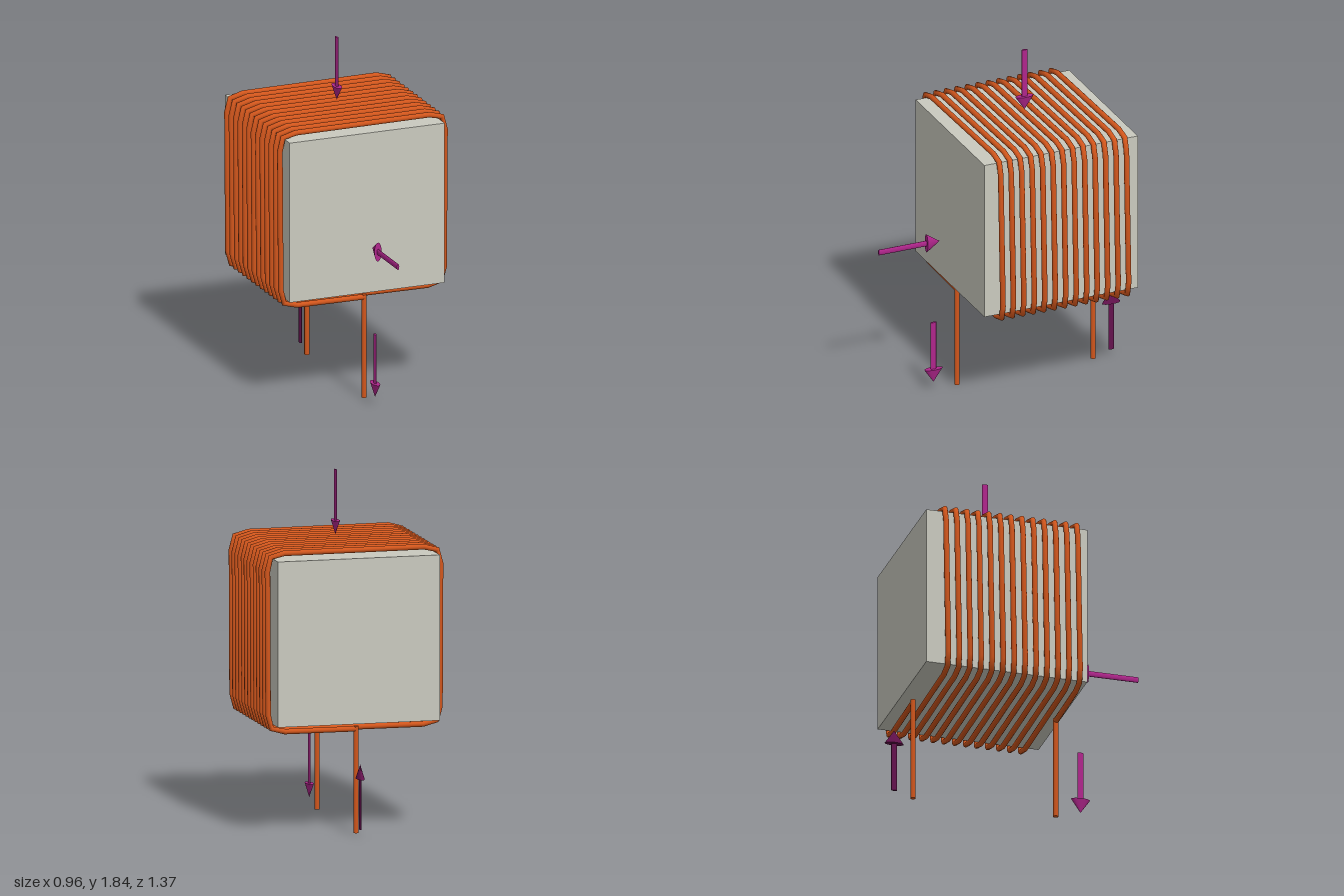
import * as THREE from 'three';

const paint = (color) => new THREE.MeshStandardMaterial({ color });

// Curve that visits the given points one by one, so a tube keeps its bends crisp
class PolylineCurve extends THREE.Curve {
  constructor(points) {
    super();
    this.points = points;
  }
  getPoint(u, target = new THREE.Vector3()) {
    return target.copy(this.points[Math.round(u * (this.points.length - 1))]);
  }
  getPointAt(u, target) {
    return this.getPoint(u, target);
  }
  getTangentAt(u, target = new THREE.Vector3()) {
    const p = this.points, n = p.length - 1, i = Math.round(u * n);
    const ahead = p[Math.min(i + 1, n)].clone().sub(p[Math.min(i, n - 1)]).normalize();
    const behind = p[Math.max(i, 1)].clone().sub(p[Math.max(i - 1, 0)]).normalize();
    return target.copy(ahead).add(behind).normalize();
  }
}

// Arrow pointing along +y from its tail at the origin, flattened in x
function makeArrow(name, length, material) {
  const headLength = 0.075;
  const arrow = new THREE.Group();
  arrow.name = name;
  const shaft = new THREE.Mesh(new THREE.CylinderGeometry(0.016, 0.016, length - headLength, 16), material);
  shaft.name = 'arrowShaft';
  shaft.position.y = (length - headLength) / 2;
  const head = new THREE.Mesh(new THREE.ConeGeometry(0.051, headLength, 24), material);
  head.name = 'arrowHead';
  head.position.y = length - headLength / 2;
  arrow.add(shaft, head);
  arrow.scale.x = 0.4;
  return arrow;
}

export function createModel() {
  const model = new THREE.Group();
  model.name = 'wireCoil';
  const copper = paint(0xd2561c);
  const magenta = paint(0xb0268c);
  const darkMagenta = paint(0x64124e);

  // Square core
  const core = new THREE.Mesh(new THREE.BoxGeometry(0.866, 0.866, 0.868), paint(0xcacabf));
  core.name = 'core';
  core.position.set(-0.002, 1.012, -0.015);
  model.add(core);

  // Winding: 13 turns of a square loop with bevelled corners, stepping back along z
  const wireRadius = 0.0145, turns = 13, zStart = 0.38, zEnd = -0.39;
  const centreY = 1.01, half = 0.465;
  const corner = [[0.375, half], [0.447, 0.447], [half, 0.375]];
  const loop = [[0, -half]];
  for (const [a, b] of corner) loop.push([-a, -b]);
  for (const [a, b] of [...corner].reverse()) loop.push([-a, b]);
  for (const [a, b] of corner) loop.push([a, b]);
  for (const [a, b] of [...corner].reverse()) loop.push([a, -b]);

  // Distance along the loop at each point gives an even slope
  const along = [0];
  for (let i = 1; i <= loop.length; i++) {
    const [x0, y0] = loop[i - 1], [x1, y1] = loop[i % loop.length];
    along.push(along[i - 1] + Math.hypot(x1 - x0, y1 - y0));
  }
  const loopLength = along[loop.length];
  const path = [];
  for (let t = 0; t < turns; t++) {
    loop.forEach(([x, y], i) => {
      const k = (t + along[i] / loopLength) / turns;
      path.push(new THREE.Vector3(x, centreY + y, THREE.MathUtils.lerp(zStart, zEnd, k)));
    });
  }
  path.push(new THREE.Vector3(0, centreY - half, zEnd));
  const winding = new THREE.Mesh(
    new THREE.TubeGeometry(new PolylineCurve(path), path.length - 1, wireRadius, 12), copper);
  winding.name = 'winding';
  model.add(winding);

  // Straight leads down to the ground
  for (const [name, z] of [['frontLead', zStart], ['backLead', zEnd]]) {
    const height = centreY - half + wireRadius;
    const lead = new THREE.Mesh(new THREE.CylinderGeometry(0.0135, 0.0135, height, 12), copper);
    lead.name = name;
    lead.position.set(-0.003, height / 2, z);
    model.add(lead);
  }

  // Arrows: name, length, tail y, tail z, turn about x, material
  const arrows = [
    ['wireArrow', 0.34, 1.84, 0, Math.PI, magenta],
    ['coreArrow', 0.345, 0.84, 0.825, -Math.PI / 2, magenta],
    ['currentOutArrow', 0.34, 0.382, 0.515, Math.PI, magenta],
    ['currentInArrow', 0.34, 0.034, -0.49, 0, darkMagenta],
  ];
  for (const [name, length, y, z, turn, material] of arrows) {
    const arrow = makeArrow(name, length, material);
    arrow.position.set(0.002, y, z);
    arrow.rotation.x = turn;
    model.add(arrow);
  }

  return model;
}
